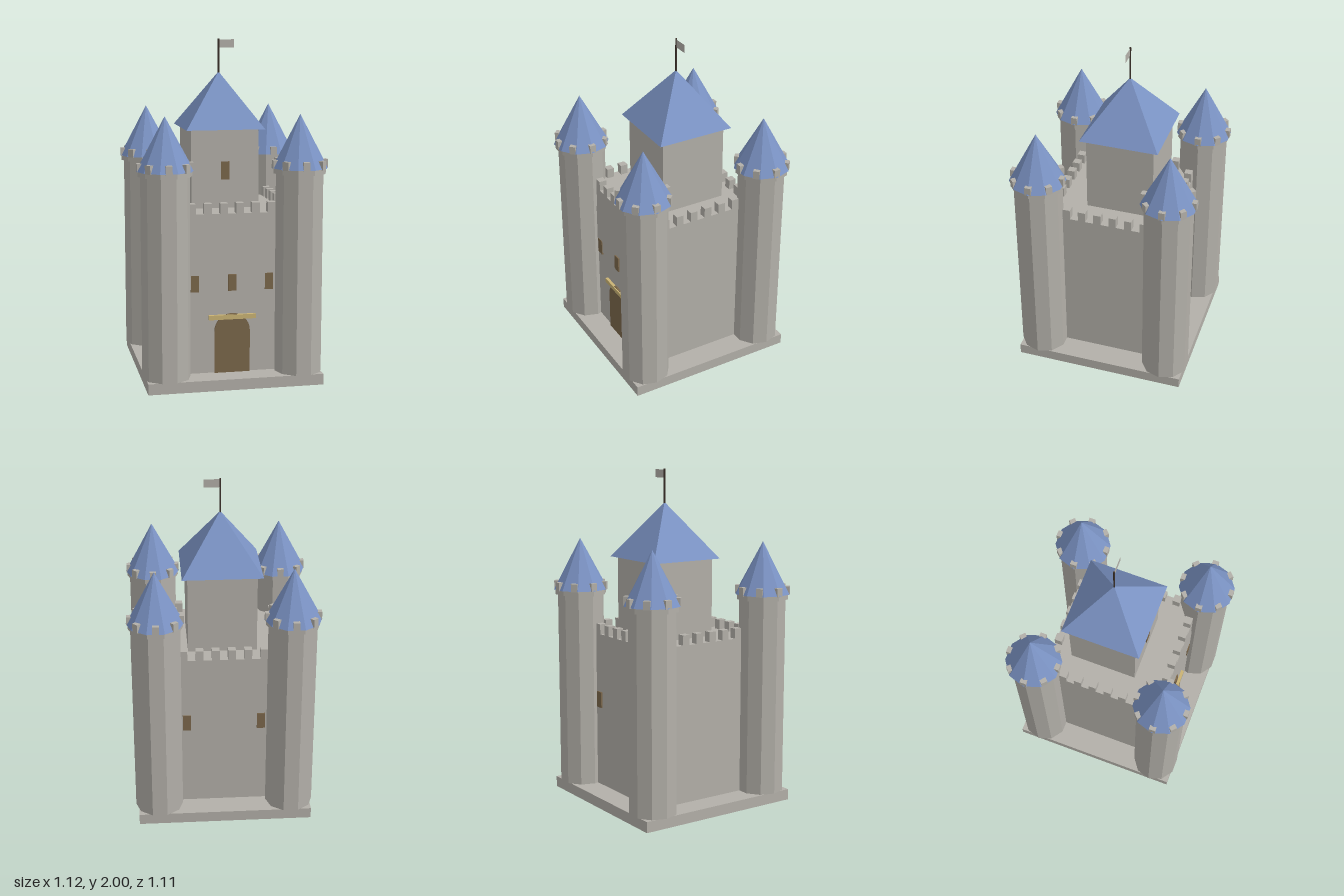
import * as THREE from 'three';

const mat = (name, color, extra = {}) => {
  const m = new THREE.MeshStandardMaterial({ color, ...extra });
  m.name = name;
  return m;
};

export function createModel() {
  const stone = mat('stone', 0xb3b0a9, { flatShading: true });
  const cloth = mat('pale cloth', 0xb3b0a9, { side: THREE.DoubleSide });
  const slate = mat('blue slate', 0x7b93c4, { flatShading: true });
  const wood = mat('brown wood', 0x7b674b);
  const gold = mat('gold', 0xcab374);
  const iron = mat('dark iron', 0x3b3029);

  const castle = new THREE.Group();
  castle.name = 'castle';

  const add = (parent, name, geometry, material, x = 0, y = 0, z = 0, turn = 0) => {
    const mesh = new THREE.Mesh(geometry, material);
    mesh.name = name;
    mesh.position.set(x, y, z);
    mesh.rotation.y = turn;
    parent.add(mesh);
    return mesh;
  };
  // Box standing on height y
  const block = (parent, name, w, h, d, material, x, y, z, turn = 0) =>
    add(parent, name, new THREE.BoxGeometry(w, h, d), material, x, y + h / 2, z, turn);

  // Plinth and main hall
  block(castle, 'plinth', 1.034, 0.065, 1.034, stone, 0, 0, 0);
  block(castle, 'hall', 0.734, 0.945, 0.734, stone, 0, 0.065, 0);

  // Battlements along the four hall walls
  for (let side = 0; side < 4; side++) {
    const wall = new THREE.Group();
    wall.name = 'battlement';
    wall.rotation.y = side * Math.PI / 2;
    for (let i = 0; i < 6; i++) {
      block(wall, 'merlon', 0.045, 0.06, 0.045, stone, (i - 2.5) * 0.094, 1.01, 0.3445);
    }
    castle.add(wall);
  }

  // Corner towers with ten sides, a collar, merlons and a pointed roof
  const tenSided = Math.PI / 10;
  for (const sx of [-1, 1]) for (const sz of [-1, 1]) {
    const tower = new THREE.Group();
    tower.name = 'cornerTower';
    tower.position.set(sx * 0.393, 0, sz * 0.393);
    add(tower, 'towerShaft', new THREE.CylinderGeometry(0.142, 0.142, 1.18, 10), stone, 0, 0.655, 0, tenSided);
    add(tower, 'towerCollar', new THREE.CylinderGeometry(0.157, 0.157, 0.03, 10), stone, 0, 1.256, 0, tenSided);
    add(tower, 'towerRoof', new THREE.ConeGeometry(0.166, 0.309, 10), slate, 0, 1.4255, 0, tenSided);
    for (let i = 0; i < 8; i++) {
      const a = i * Math.PI / 4;
      block(tower, 'towerMerlon', 0.038, 0.05, 0.028, stone, 0.148 * Math.sin(a), 1.268, 0.148 * Math.cos(a), a);
    }
    castle.add(tower);
  }

  // Keep with a pyramid roof, flagpole and flag
  const keep = new THREE.Group();
  keep.name = 'keep';
  keep.position.z = -0.041;
  block(keep, 'keepWalls', 0.405, 0.465, 0.405, stone, 0, 1.01, 0);
  add(keep, 'keepRoof', new THREE.ConeGeometry(0.235 * Math.SQRT2, 0.33, 4), slate, 0, 1.64, 0, Math.PI / 4);
  add(keep, 'flagpole', new THREE.CylinderGeometry(0.005, 0.005, 0.21, 8), iron, 0, 1.895, 0);
  add(keep, 'flag', new THREE.PlaneGeometry(0.093, 0.048), cloth, 0.0475, 1.971, 0);
  block(keep, 'keepWindow', 0.05, 0.107, 0.009, wood, 0, 1.18, 0.2065);
  castle.add(keep);

  // Hall windows, front and back
  for (const x of [-0.22, 0, 0.22]) {
    block(castle, 'frontWindow', 0.048, 0.097, 0.009, wood, x, 0.555, 0.3715);
    if (x) block(castle, 'backWindow', 0.048, 0.097, 0.009, wood, x, 0.555, -0.3715);
  }

  // Wall hangings beside the towers
  for (const s of [-1, 1]) {
    add(castle, 'wallHanging', new THREE.PlaneGeometry(0.114, 0.31), cloth, s * 0.22, 0.725, 0.372);
  }

  // Arched door under a gilded lintel
  const arch = new THREE.Shape();
  arch.moveTo(-0.105, 0.065);
  arch.lineTo(0.105, 0.065);
  arch.lineTo(0.105, 0.315);
  arch.absarc(0, 0.315, 0.105, 0, Math.PI, false);
  const doorGeometry = new THREE.ExtrudeGeometry(arch, { depth: 0.012, bevelEnabled: false, curveSegments: 8 });
  add(castle, 'door', doorGeometry, wood, 0, 0, 0.366);
  block(castle, 'lintel', 0.28, 0.027, 0.019, gold, 0, 0.386, 0.3755);

  return castle;
}
